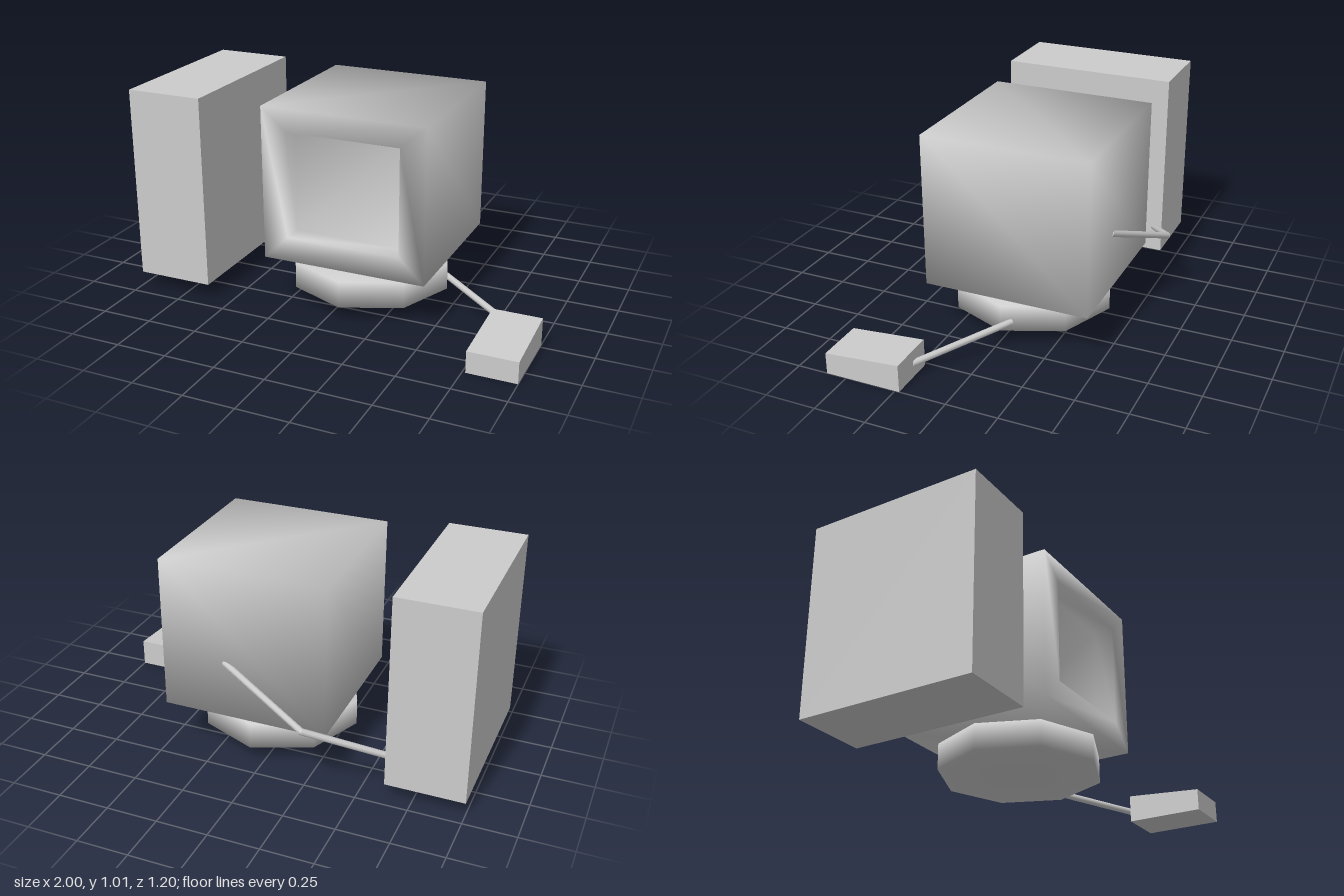
import * as THREE from 'three';
import { mergeVertices } from 'three/addons/utils/BufferGeometryUtils.js';

export function createModel() {
  const model = new THREE.Group();
  const smooth = new THREE.MeshStandardMaterial({ color: 0xcccccc });
  const flat = new THREE.MeshStandardMaterial({ color: 0xcccccc, flatShading: true });

  const add = (name, geometry, material, parent = model) => {
    const mesh = new THREE.Mesh(geometry, material);
    mesh.name = name;
    parent.add(mesh);
    return mesh;
  };

  // Box from its minimum and maximum corners
  const box = (name, min, max) => {
    const size = max.map((v, i) => v - min[i]);
    const geometry = new THREE.BoxGeometry(...size);
    geometry.translate(...min.map((v, i) => v + size[i] / 2));
    return add(name, geometry, flat);
  };

  // Weld all corners so the shading runs softly across every edge
  const weld = (geometry) => {
    geometry.deleteAttribute('normal');
    geometry.deleteAttribute('uv');
    const welded = mergeVertices(geometry);
    welded.computeVertexNormals();
    return welded;
  };

  // Monitor: rectangles [x0, x1, y0, y1, z] from the back to the sunken screen
  const loops = [
    [-0.33, 0.48, 0.25, 1.0, -0.45],
    [-0.33, 0.48, 0.25, 1.0, 0.365],
    [-0.205, 0.355, 0.37, 0.89, 0.365],
    [-0.205, 0.355, 0.37, 0.89, 0.265],
  ];
  const positions = [];
  const index = [2, 1, 0, 3, 2, 0]; // back
  for (const [x0, x1, y0, y1, z] of loops) {
    positions.push(x0, y0, z, x1, y0, z, x1, y1, z, x0, y1, z);
  }
  for (let k = 0; k < loops.length - 1; k++) {
    for (let i = 0; i < 4; i++) {
      const a = k * 4 + i;
      const b = k * 4 + ((i + 1) % 4);
      index.push(a, b, b + 4, a, b + 4, a + 4);
    }
  }
  index.push(12, 13, 14, 12, 14, 15); // screen
  const monitor = new THREE.BufferGeometry();
  monitor.setAttribute('position', new THREE.Float32BufferAttribute(positions, 3));
  monitor.setIndex(index);
  monitor.computeVertexNormals();
  add('monitor', monitor, smooth);

  // Eight-sided stand
  const disc = (name, radius, y0, y1) => {
    const geometry = weld(new THREE.CylinderGeometry(radius, radius, y1 - y0, 8));
    add(name, geometry, smooth).position.set(0.065, (y0 + y1) / 2, -0.01);
  };
  disc('standNeck', 0.175, 0.19, 0.26);
  disc('standBase', 0.397, 0.07, 0.2);

  // Computer tower
  box('tower', [-1, 0.07, -0.445], [-0.62, 1.015, 0.425]);

  // Mouse: a box whose top slopes down to the front
  const mouse = box('mouse', [0.765, 0, 0.228], [1, 0.135, 0.6]);
  const corners = mouse.geometry.attributes.position;
  for (let i = 0; i < corners.count; i++) {
    if (corners.getY(i) > 0.1 && corners.getZ(i) > 0.5) corners.setY(i, 0.105);
  }
  mouse.geometry.computeVertexNormals();

  // Cables: straight runs with round joints at the bends
  const cable = (name, points, radius) => {
    const group = new THREE.Group();
    group.name = name;
    const path = points.map((p) => new THREE.Vector3(...p));
    for (let i = 0; i < path.length - 1; i++) {
      const run = path[i + 1].clone().sub(path[i]);
      const length = run.length();
      const mesh = add('cableRun', new THREE.CylinderGeometry(radius, radius, length, 8), smooth, group);
      mesh.position.copy(path[i]).addScaledVector(run, 0.5);
      mesh.quaternion.setFromUnitVectors(new THREE.Vector3(0, 1, 0), run.normalize());
      if (i > 0) {
        add('cableBend', new THREE.SphereGeometry(radius, 8, 6), smooth, group).position.copy(path[i]);
      }
    }
    model.add(group);
  };
  cable('towerCable', [[0.17, 0.53, -0.44], [-0.27, 0.347, -0.58], [-0.63, 0.197, -0.4]], 0.016);
  cable('mouseCable', [[0.44, 0.118, -0.058], [0.865, 0.066, 0.235]], 0.016);

  return model;
}
